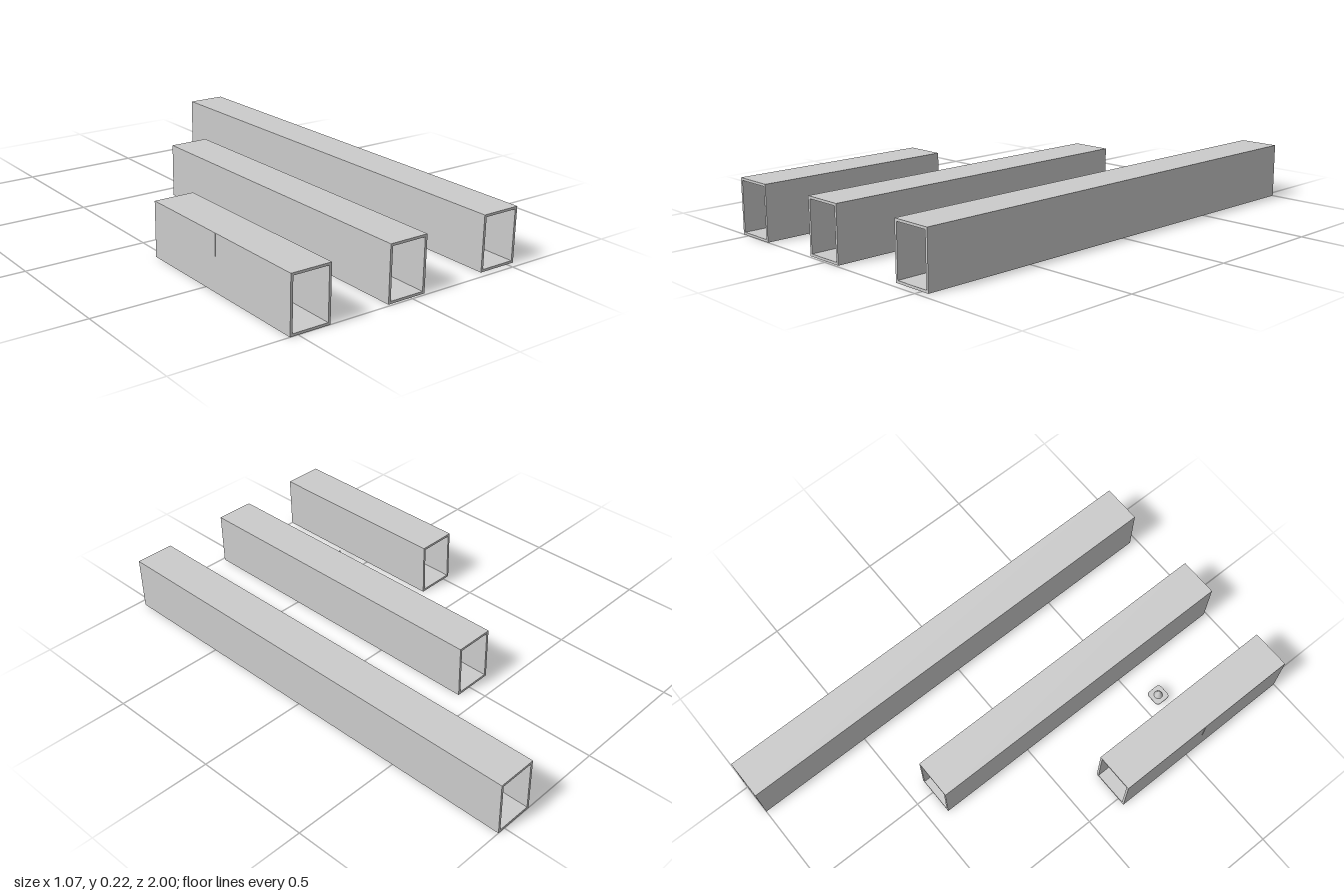
import * as THREE from 'three';

const grey = new THREE.MeshStandardMaterial({ color: 0xcccccc, side: THREE.DoubleSide });

function add(parent, name, geometry, x, y, z) {
  const mesh = new THREE.Mesh(geometry, grey);
  mesh.name = name;
  mesh.position.set(x, y, z);
  parent.add(mesh);
  return mesh;
}

// Rectangular outline, counter-clockwise, standing on y = bottom
function rect(PathType, halfWidth, bottom, top) {
  return new PathType([
    new THREE.Vector2(-halfWidth, bottom), new THREE.Vector2(halfWidth, bottom),
    new THREE.Vector2(halfWidth, top), new THREE.Vector2(-halfWidth, top),
  ]);
}

// Hollow corridor, open at both ends
function corridor(zBack, zFront) {
  const wall = 0.01, half = 0.084, height = 0.225;
  const shape = rect(THREE.Shape, half, 0, height);
  shape.holes.push(rect(THREE.Path, half - wall, wall, height - wall));
  return new THREE.ExtrudeGeometry(shape, { depth: zFront - zBack, bevelEnabled: false });
}

// Small cone on a flat rounded-square foot
function cone() {
  const group = new THREE.Group();
  group.name = 'cone';
  const h = 0.033, r = 0.016;
  const foot = new THREE.Shape();
  foot.moveTo(-h + r, -h);
  foot.lineTo(h - r, -h);
  foot.quadraticCurveTo(h, -h, h, -h + r);
  foot.lineTo(h, h - r);
  foot.quadraticCurveTo(h, h, h - r, h);
  foot.lineTo(-h + r, h);
  foot.quadraticCurveTo(-h, h, -h, h - r);
  foot.lineTo(-h, -h + r);
  foot.quadraticCurveTo(-h, -h, -h + r, -h);
  const footGeometry = new THREE.ExtrudeGeometry(foot, {
    depth: 0.003, bevelThickness: 0.002, bevelSize: 0.002, bevelSegments: 2, curveSegments: 5,
  });
  footGeometry.rotateX(-Math.PI / 2);
  add(group, 'coneFoot', footGeometry, 0, 0.002, 0);

  const profile = [[0.019, 0.006], [0.017, 0.009], [0.003, 0.047], [0.0015, 0.049], [0, 0.0495]];
  const body = new THREE.LatheGeometry(profile.map(([x, y]) => new THREE.Vector2(x, y)), 24);
  add(group, 'coneBody', body, 0, 0, 0);
  return group;
}

export function createModel() {
  const model = new THREE.Group();
  model.name = 'corridorSet';

  // Three corridors of growing length
  const corridors = [
    ['shortCorridor', -0.449, 0.155, 1.0],
    ['mediumCorridor', -0.018, -0.42, 0.99],
    ['longCorridor', 0.449, -1.0, 0.97],
  ];
  for (const [name, x, zBack, zFront] of corridors) {
    add(model, name, corridor(zBack, zFront), x, 0, zBack);
  }

  // Thin panel hanging from the ceiling of the short corridor
  add(model, 'hangingPanel', new THREE.BoxGeometry(0.165, 0.084, 0.003), -0.4525, 0.18, 0.563);

  // Upright drum on the corridor floor
  add(model, 'drum', new THREE.CylinderGeometry(0.027, 0.027, 0.095, 32), -0.452, 0.0535, 0.575);

  // Cone between the short and medium corridors
  const marker = cone();
  marker.position.set(-0.267, 0.027, 0.575);
  model.add(marker);

  return model;
}
